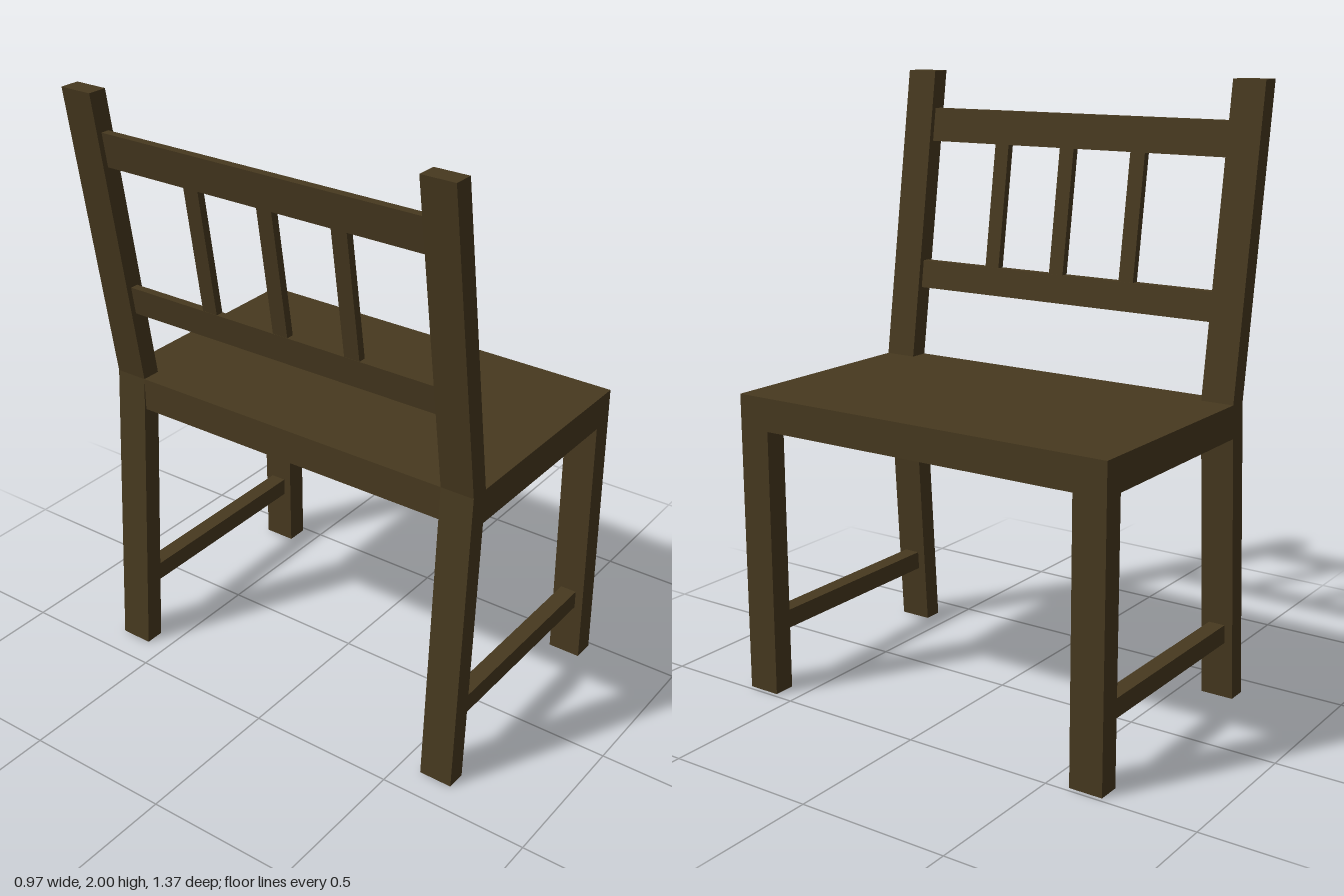
import * as THREE from 'three';

const wood = new THREE.MeshStandardMaterial({ color: 0x47391f, flatShading: true });

export function createModel() {
  const chair = new THREE.Group();
  chair.name = 'chair';

  const add = (name, geometry) => {
    const mesh = new THREE.Mesh(geometry, wood);
    mesh.name = name;
    chair.add(mesh);
    return mesh;
  };

  // box given by its extents along each axis
  const box = (name, [x0, x1], [y0, y1], [z0, z1]) =>
    add(name, new THREE.BoxGeometry(x1 - x0, y1 - y0, z1 - z0))
      .position.set((x0 + x1) / 2, (y0 + y1) / 2, (z0 + z1) / 2);

  // side profile (x, y) extruded across z
  const profile = (name, points, z0, z1) => {
    const shape = new THREE.Shape(points.map(([x, y]) => new THREE.Vector2(x, y)));
    add(name, new THREE.ExtrudeGeometry(shape, { depth: z1 - z0, bevelEnabled: false }))
      .position.z = z0;
  };

  // piece lying in the raked plane of the backrest
  const rakeX = (y) => -0.306 - 0.148 * (y - 1.01);
  const raked = (name, y0, y1, z0, z1, half) =>
    profile(name, [
      [rakeX(y0) - half, y0], [rakeX(y0) + half, y0],
      [rakeX(y1) + half, y1], [rakeX(y1) - half, y1],
    ], z0, z1);

  // seat: top panel over a hollow rectangular apron
  box('seatPanel', [-0.338, 0.485], [0.98, 1.01], [-0.685, 0.685]);
  const rectangle = (target, x0, x1, z) => target
    .moveTo(x0, -z).lineTo(x1, -z).lineTo(x1, z).lineTo(x0, z).closePath();
  const apron = rectangle(new THREE.Shape(), -0.338, 0.485, 0.685);
  apron.holes.push(rectangle(new THREE.Path(), -0.272, 0.41, 0.61));
  const apronMesh = add('seatApron',
    new THREE.ExtrudeGeometry(apron, { depth: 0.08, bevelEnabled: false }));
  apronMesh.rotation.x = -Math.PI / 2;
  apronMesh.position.y = 0.9;

  // legs, back posts and side stretchers
  for (const [side, s] of [['left', 1], ['right', -1]]) {
    const z0 = s > 0 ? 0.573 : -0.685;
    const z1 = z0 + 0.112;
    box(`${side}FrontLeg`, [0.41, 0.485], [0, 0.9], [z0, z1]);
    profile(`${side}BackLegAndPost`, [
      [-0.405, 0], [-0.34, 0], [-0.273, 1.01],
      [-0.42, 2], [-0.485, 2], [-0.338, 1.01],
    ], z0, z1);
    const mid = (z0 + z1) / 2;
    box(`${side}Stretcher`, [-0.35, 0.42], [0.195, 0.258], [mid - 0.028, mid + 0.028]);
  }

  // backrest rails and spindles
  raked('topRail', 1.76, 1.872, -0.58, 0.58, 0.014);
  raked('lowerRail', 1.252, 1.346, -0.58, 0.58, 0.014);
  for (const z of [-0.25, 0.02, 0.28])
    raked('backSpindle', 1.34, 1.765, z - 0.027, z + 0.027, 0.013);

  return chair;
}
